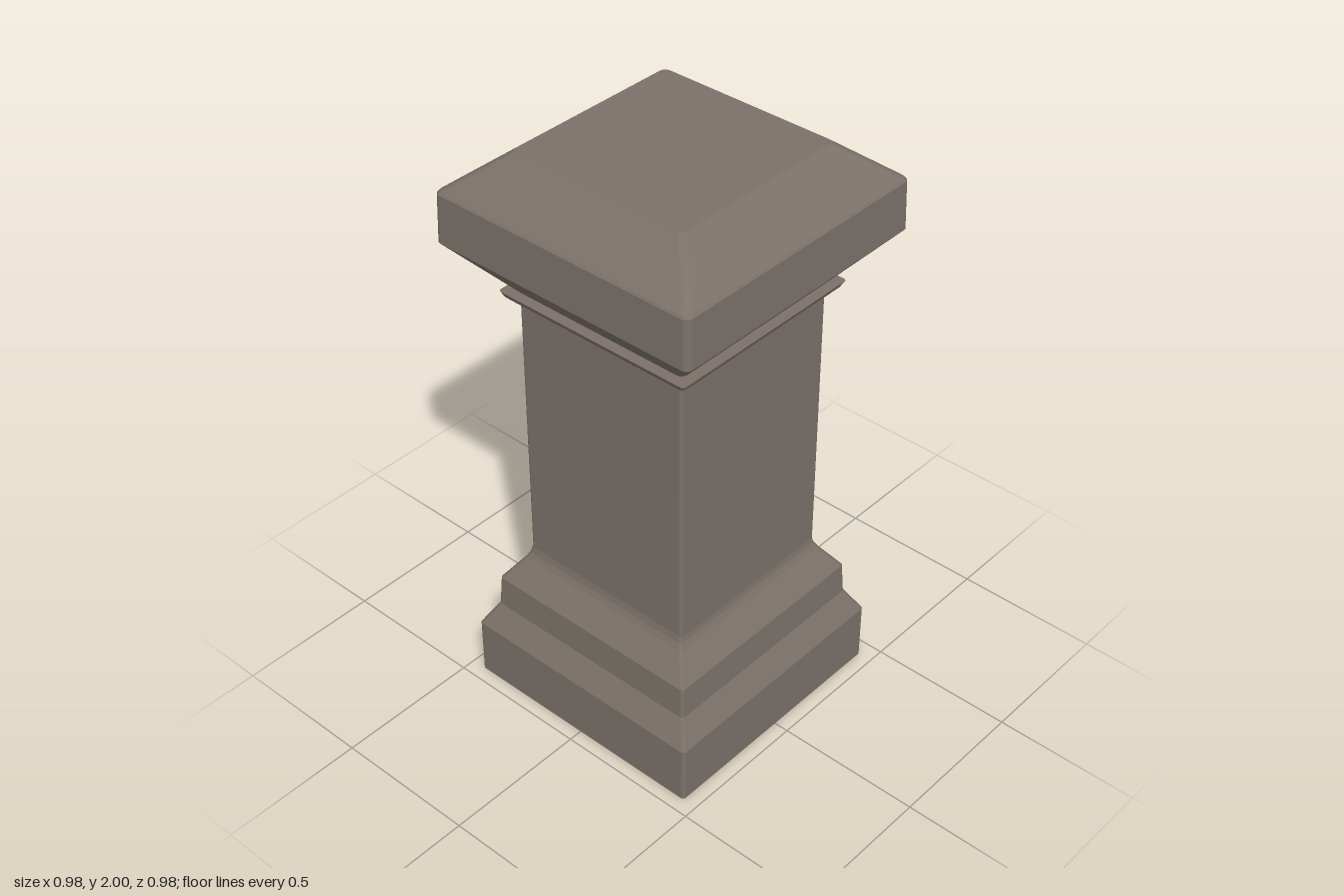
import * as THREE from 'three';

const CORNER_STEPS = 4;

// Outline of a square with rounded corners: [x, z, normal x, normal z]
function outline(half, radius) {
  const points = [];
  for (let c = 0; c < 4; c++) {
    const mid = (c + 0.5) * Math.PI / 2;
    const cx = Math.sign(Math.cos(mid)) * (half - radius);
    const cz = Math.sign(Math.sin(mid)) * (half - radius);
    for (let i = 0; i <= CORNER_STEPS; i++) {
      const a = (c + i / CORNER_STEPS) * Math.PI / 2;
      const nx = Math.cos(a), nz = Math.sin(a);
      points.push([cx + radius * nx, cz + radius * nz, nx, nz]);
    }
  }
  return points;
}

// Stacks rounded squares along a [half width, y] profile; crisp between bands, smooth round corners
function squareLoft(profile, radius) {
  const position = [], normal = [], index = [];
  const count = 4 * (CORNER_STEPS + 1);
  for (let b = 0; b < profile.length - 1; b++) {
    const [w0, y0] = profile[b], [w1, y1] = profile[b + 1];
    const length = Math.hypot(w1 - w0, y1 - y0);
    const out = (y1 - y0) / length, up = (w0 - w1) / length;
    const start = position.length / 3;
    for (const [w, y] of [profile[b], profile[b + 1]]) {
      for (const [x, z, nx, nz] of outline(w, radius)) {
        position.push(x, y, z);
        normal.push(nx * out, up, nz * out);
      }
    }
    for (let i = 0; i < count; i++) {
      const a = start + i, n = start + (i + 1) % count;
      index.push(a, a + count, n, n, a + count, n + count);
    }
  }
  // Flat ends
  for (const [[w, y], up] of [[profile[0], -1], [profile[profile.length - 1], 1]]) {
    const start = position.length / 3;
    for (const [x, z] of outline(w, radius)) {
      position.push(x, y, z);
      normal.push(0, up, 0);
    }
    for (let i = 1; i < count - 1; i++) {
      if (up > 0) index.push(start, start + i + 1, start + i);
      else index.push(start, start + i, start + i + 1);
    }
  }
  const geometry = new THREE.BufferGeometry();
  geometry.setAttribute('position', new THREE.Float32BufferAttribute(position, 3));
  geometry.setAttribute('normal', new THREE.Float32BufferAttribute(normal, 3));
  geometry.setIndex(index);
  return geometry;
}

export function createModel() {
  const group = new THREE.Group();
  group.name = 'stonePillar';
  const stone = new THREE.MeshStandardMaterial({ color: 0x7b7169 });
  stone.name = 'stone';

  const add = (name, profile, radius) => {
    const mesh = new THREE.Mesh(squareLoft(profile, radius), stone);
    mesh.name = name;
    group.add(mesh);
    return mesh;
  };

  // Stepped foot
  const base = add('base', [
    [0.452, 0], [0.452, 0.205], [0.404, 0.29], [0.398, 0.4],
    [0.338, 0.485], [0.328, 0.505], [0.323, 0.53],
  ], 0.012);
  base.position.x = -0.003;

  // Plain square column
  add('shaft', [[0.323, 0.525], [0.323, 1.53]], 0.012);

  // Thin lip under the cap
  add('collar', [[0.356, 1.506], [0.366, 1.526]], 0.012);

  // Flared cap with bevelled top
  add('cap', [
    [0.328, 1.524], [0.488, 1.705], [0.484, 1.868], [0.478, 1.876], [0.325, 2],
  ], 0.022);

  return group;
}
